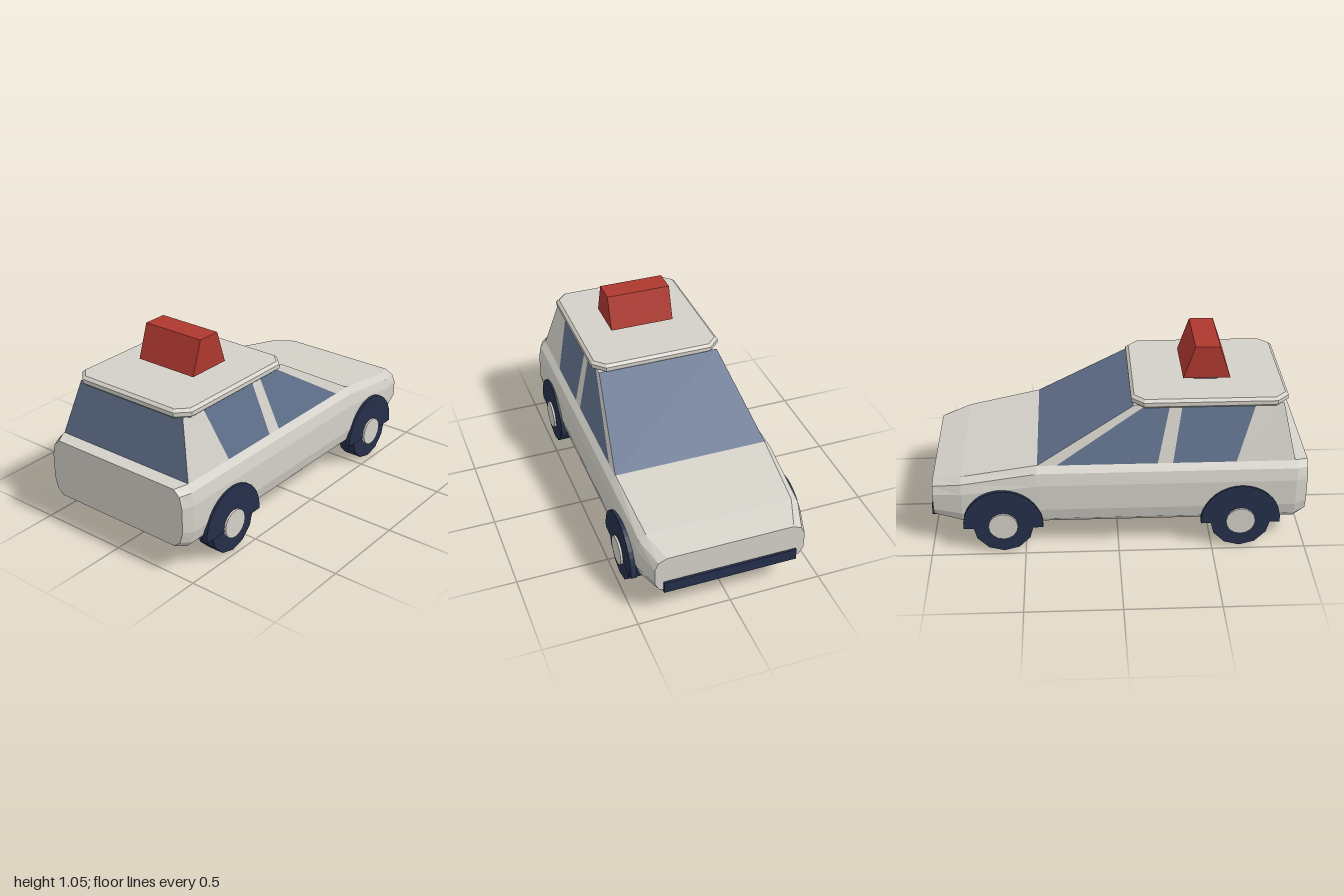
import * as THREE from 'three';

const mat = (name, color) => {
  const m = new THREE.MeshStandardMaterial({ color, flatShading: true });
  m.name = name;
  return m;
};

// Builds a flat-faced geometry from polygons listed counter-clockwise
function faces(polys) {
  const pos = [];
  for (const p of polys) {
    for (let i = 1; i < p.length - 1; i++) pos.push(...p[0], ...p[i], ...p[i + 1]);
  }
  const g = new THREE.BufferGeometry();
  g.setAttribute('position', new THREE.Float32BufferAttribute(pos, 3));
  g.computeVertexNormals();
  return g;
}

// Rounded cross-section at x: half width w, bottom y0, top y1, corner inset k
function section([x, w, y0, y1, k]) {
  const h = y1 - y0;
  const half = [
    [w - k, y1], [w - k * 0.3, y1 - h * 0.1], [w, y1 - h * 0.29],
    [w, y0 + h * 0.29], [w - k * 0.33, y0 + h * 0.1], [w - k * 1.1, y0],
  ];
  const ring = half.map(([z, y]) => [x, y, z]);
  return ring.concat(half.map(([z, y]) => [x, y, -z]).reverse());
}

function bodyGeometry() {
  const rings = [
    [-1, 0.44, 0.17, 0.49, 0.05],
    [-0.94, 0.465, 0.15, 0.5, 0.045],
    [0.43, 0.465, 0.15, 0.5, 0.045],
    [0.83, 0.45, 0.15, 0.425, 0.055],
    [0.985, 0.405, 0.17, 0.385, 0.065],
  ].map(section);
  const polys = [[...rings[0]].reverse(), rings[rings.length - 1]];
  for (let i = 0; i < rings.length - 1; i++) {
    const a = rings[i], b = rings[i + 1], n = a.length;
    for (let j = 0; j < n; j++) {
      const k = (j + 1) % n;
      polys.push([a[j], a[k], b[k], b[j]]);
    }
  }
  return faces(polys);
}

export function createModel() {
  const cream = mat('cream paint', 0xd3d0c8);
  const glass = mat('blue glass', 0x60708c);
  const navy = mat('navy rubber', 0x242f4a);
  const red = mat('red sign', 0xae382f);

  const car = new THREE.Group();
  car.name = 'car';
  const add = (name, geo, material, parent = car) => {
    const m = new THREE.Mesh(geo, material);
    m.name = name;
    parent.add(m);
    return m;
  };

  add('body', bodyGeometry(), cream);

  // Cabin: side strips alternate between pillar and window
  const bottom = [-0.93, -0.62, -0.285, -0.205, 0.325, 0.43];
  const top = [-0.865, -0.72, -0.335, -0.27, -0.145, -0.08];
  const yb = 0.498, yt = 0.8, zb = 0.422, zt = 0.34;
  const pillars = [], windows = [];
  for (let i = 0; i < 5; i++) {
    const list = i % 2 ? windows : pillars;
    const quad = (s) => [
      [bottom[i], yb, s * zb], [bottom[i + 1], yb, s * zb],
      [top[i + 1], yt, s * zt], [top[i], yt, s * zt],
    ];
    list.push(quad(1), quad(-1).reverse());
  }
  const endPane = (xb, xt, s) => [
    [xb, yb, s * zb], [xb, yb, -s * zb], [xt, yt, -s * zt], [xt, yt, s * zt],
  ];
  add('pillars', faces(pillars), cream);
  add('sideWindows', faces(windows), glass);
  add('windscreen', faces([endPane(0.43, -0.08, 1)]), glass);
  add('rearWindow', faces([endPane(-0.93, -0.865, -1)]), glass);

  // Roof: bevelled slab with cut corners
  const a = 0.395, b = 0.35, c = 0.055;
  const octagon = new THREE.Shape([
    [a, c - b], [a, b - c], [a - c, b], [c - a, b],
    [-a, b - c], [-a, c - b], [c - a, -b], [a - c, -b],
  ].map(([x, y]) => new THREE.Vector2(x, y)));
  const roof = new THREE.ExtrudeGeometry(octagon, {
    depth: 0.022, bevelThickness: 0.014, bevelSize: 0.016, bevelSegments: 1,
  });
  roof.rotateX(-Math.PI / 2);
  add('roof', roof, cream).position.set(-0.48, 0.804, 0);

  // Roof sign on a short stand
  add('signStand', new THREE.BoxGeometry(0.13, 0.06, 0.26), glass).position.set(-0.475, 0.85, 0);
  const wedge = new THREE.Shape([
    [-0.125, 0], [0.125, 0], [0.065, 0.18], [-0.065, 0.18],
  ].map(([x, y]) => new THREE.Vector2(x, y)));
  const sign = new THREE.ExtrudeGeometry(wedge, { depth: 0.36, bevelEnabled: false });
  add('roofSign', sign, red).position.set(-0.475, 0.87, -0.18);

  add('frontBumper', new THREE.BoxGeometry(0.03, 0.063, 0.72), navy).position.set(0.983, 0.202, 0);

  // Wheels with arch plates and hubs
  const archShape = new THREE.Shape();
  archShape.absarc(0, 0, 0.212, -0.07, Math.PI + 0.07, false);
  const arch = new THREE.ExtrudeGeometry(archShape, {
    depth: 0.03, bevelEnabled: false, curveSegments: 9,
  });
  const tyre = new THREE.CylinderGeometry(0.163, 0.163, 0.1, 12).rotateX(Math.PI / 2);
  const hub = new THREE.CylinderGeometry(0.078, 0.078, 0.04, 16).rotateX(Math.PI / 2);
  for (const [end, x] of [['rear', -0.65], ['front', 0.615]]) {
    for (const [side, s] of [['Left', 1], ['Right', -1]]) {
      const wheel = new THREE.Group();
      wheel.name = end + side + 'Wheel';
      wheel.position.set(x, 0.163, 0);
      add('tyre', tyre, navy, wheel).position.z = s * 0.42;
      add('hub', hub, cream, wheel).position.z = s * 0.467;
      add('wheelArch', arch, navy, wheel).position.z = s > 0 ? 0.446 : -0.476;
      car.add(wheel);
    }
  }
  return car;
}
